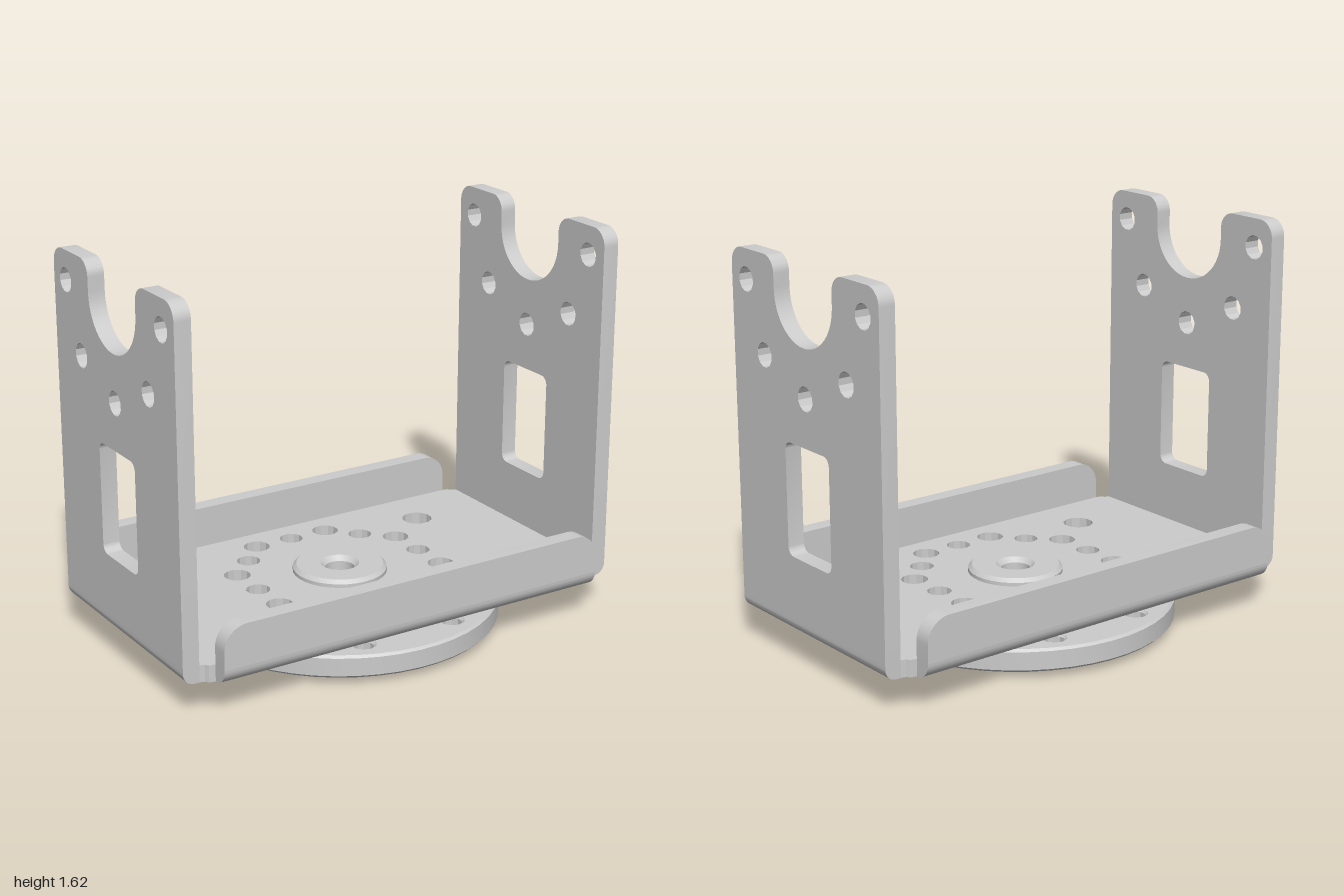
import * as THREE from 'three';
import { toCreasedNormals } from 'three/addons/utils/BufferGeometryUtils.js';

const T = 0.07; // sheet thickness
const FLOOR = 0.14; // underside of the floor

const material = new THREE.MeshStandardMaterial({ color: 0xcccccc });

function add(parent, name, geometry) {
  const mesh = new THREE.Mesh(toCreasedNormals(geometry, 0.5), material);
  mesh.name = name;
  parent.add(mesh);
  return mesh;
}

function circlePoints(cx, cy, r, n) {
  return Array.from({ length: n }, (_, i) => {
    const a = ((i + 0.5) / n) * Math.PI * 2;
    return new THREE.Vector2(cx + r * Math.cos(a), cy + r * Math.sin(a));
  });
}

function punch(shape, x, y, r, n = 12) {
  shape.holes.push(new THREE.Path(circlePoints(x, y, r, n)));
}

function extrude(shape, depth, bevel = 0) {
  return new THREE.ExtrudeGeometry(shape, {
    depth: depth - 2 * bevel, curveSegments: 6,
    bevelEnabled: bevel > 0, bevelThickness: bevel, bevelSize: bevel,
    bevelOffset: -bevel, bevelSegments: 1,
  }).translate(0, 0, bevel);
}

// Floor sheet with its hole pattern
function floorGeometry() {
  const corner = [[0.93, 0.49], [0.91, 0.495], [0.9, 0.51], [0.875, 0.515]];
  const flipped = [...corner].reverse();
  const pts = [
    ...corner, ...flipped.map(([x, z]) => [-x, z]),
    ...corner.map(([x, z]) => [-x, -z]), ...flipped.map(([x, z]) => [x, -z]),
  ];
  const s = new THREE.Shape(pts.map(p => new THREE.Vector2(...p)));
  punch(s, 0, 0, 0.15, 24);
  for (let i = 0; i < 8; i++) {
    const a = (i * Math.PI) / 4;
    punch(s, 0.39 * Math.cos(a), 0.39 * Math.sin(a), 0.05);
  }
  for (const sx of [-1, 1]) for (const sz of [-1, 1]) {
    punch(s, sx * 0.39, sz * 0.17, 0.056);
    punch(s, sx * 0.17, sz * 0.39, 0.056);
    punch(s, sx * 0.585, sz * 0.295, 0.065);
  }
  return extrude(s, T).rotateX(-Math.PI / 2).translate(0, FLOOR, 0);
}

// Upright wall: forked top, screw holes and a window
function wallGeometry() {
  const s = new THREE.Shape();
  const top = 1.625, w = 0.49, c = 0.07, n = 0.195, e = 0.065;
  s.moveTo(-w, FLOOR + T);
  s.lineTo(w, FLOOR + T);
  s.lineTo(w, top - c);
  s.absarc(w - c, top - c, c, 0, Math.PI / 2, false);
  s.lineTo(n + e, top);
  s.absarc(n + e, top - e, e, Math.PI / 2, Math.PI, false);
  s.absarc(0, 1.505, n, 0, -Math.PI / 2, true);
  s.absarc(0, 1.505, n, -Math.PI / 2, -Math.PI, true);
  s.absarc(-n - e, top - e, e, 0, Math.PI / 2, false);
  s.lineTo(-w + c, top);
  s.absarc(-w + c, top - c, c, Math.PI / 2, Math.PI, false);
  for (const side of [-1, 1]) {
    punch(s, side * 0.39, 1.505, 0.05);
    punch(s, side * 0.275, 1.23, 0.05);
  }
  punch(s, 0, 1.115, 0.05);
  const hw = 0.148, lo = 0.46, hi = 0.92, r = 0.035;
  const win = new THREE.Path();
  win.absarc(hw - r, lo + r, r, -Math.PI / 2, 0, false);
  win.absarc(hw - r, hi - r, r, 0, Math.PI / 2, false);
  win.absarc(-hw + r, hi - r, r, Math.PI / 2, Math.PI, false);
  win.absarc(-hw + r, lo + r, r, Math.PI, Math.PI * 1.5, false);
  win.closePath();
  s.holes.push(win);
  return extrude(s, T).rotateY(Math.PI / 2).translate(1 - T, 0, 0);
}

// Rounded outer corner joining the floor to an upright; runs along z
function bendGeometry(inner, outer, radius, length) {
  const s = new THREE.Shape();
  s.moveTo(inner, FLOOR);
  s.lineTo(outer - radius, FLOOR);
  s.absarc(outer - radius, FLOOR + radius, radius, -Math.PI / 2, 0, false);
  s.lineTo(outer, FLOOR + T);
  s.lineTo(inner, FLOOR + T);
  return extrude(s, length).translate(0, 0, -length / 2);
}

// Low lip with rounded top corners
function lipGeometry() {
  const s = new THREE.Shape();
  const w = 0.875, top = 0.383, r = 0.1;
  s.moveTo(-w, FLOOR + T);
  s.lineTo(w, FLOOR + T);
  s.absarc(w - r, top - r, r, 0, Math.PI / 2, false);
  s.absarc(-w + r, top - r, r, Math.PI / 2, Math.PI, false);
  return extrude(s, T).translate(0, 0, 0.515);
}

// Round turntable plate with large and small holes
function discGeometry() {
  const s = new THREE.Shape(circlePoints(0, 0, 0.657, 48));
  punch(s, 0, 0, 0.2, 24);
  for (let i = 0; i < 8; i++) {
    const a = (i * Math.PI) / 4, b = a + Math.PI / 8;
    punch(s, 0.39 * Math.cos(a), 0.39 * Math.sin(a), 0.1, 16);
    punch(s, 0.55 * Math.cos(b), 0.55 * Math.sin(b), 0.042, 10);
  }
  return extrude(s, 0.095, 0.01).rotateX(-Math.PI / 2).translate(0, 0.03, 0);
}

// Stepped hub through the disc and floor, with a countersunk bore
function hubGeometry() {
  const profile = [
    [0.055, 0], [0.23, 0], [0.245, 0.015], [0.245, 0.139], [0.195, 0.139],
    [0.195, 0.225], [0.18, 0.24], [0.08, 0.24], [0.06, 0.22], [0.055, 0],
  ];
  return new THREE.LatheGeometry(profile.map(p => new THREE.Vector2(...p)), 32);
}

export function createModel() {
  const model = new THREE.Group();
  model.name = 'swivelBracket';

  const bracket = new THREE.Group();
  bracket.name = 'bracket';
  model.add(bracket);
  add(bracket, 'floor', floorGeometry());

  // Matching uprights and lips on opposite sides
  for (const [side, turn] of [['left', 0], ['right', Math.PI]]) {
    const g = new THREE.Group();
    g.name = side + 'Upright';
    g.rotation.y = turn;
    add(g, 'wall', wallGeometry());
    add(g, 'wallBend', bendGeometry(1 - T, 1, 0.05, 0.98));
    bracket.add(g);
  }
  for (const [side, turn] of [['front', 0], ['back', Math.PI]]) {
    const g = new THREE.Group();
    g.name = side + 'Lip';
    g.rotation.y = turn;
    add(g, 'lip', lipGeometry());
    add(g, 'lipBend', bendGeometry(0.515, 0.585, T, 1.75).rotateY(-Math.PI / 2));
    bracket.add(g);
  }

  const turntable = new THREE.Group();
  turntable.name = 'turntable';
  add(turntable, 'disc', discGeometry());
  add(turntable, 'hub', hubGeometry());
  model.add(turntable);
  return model;
}
